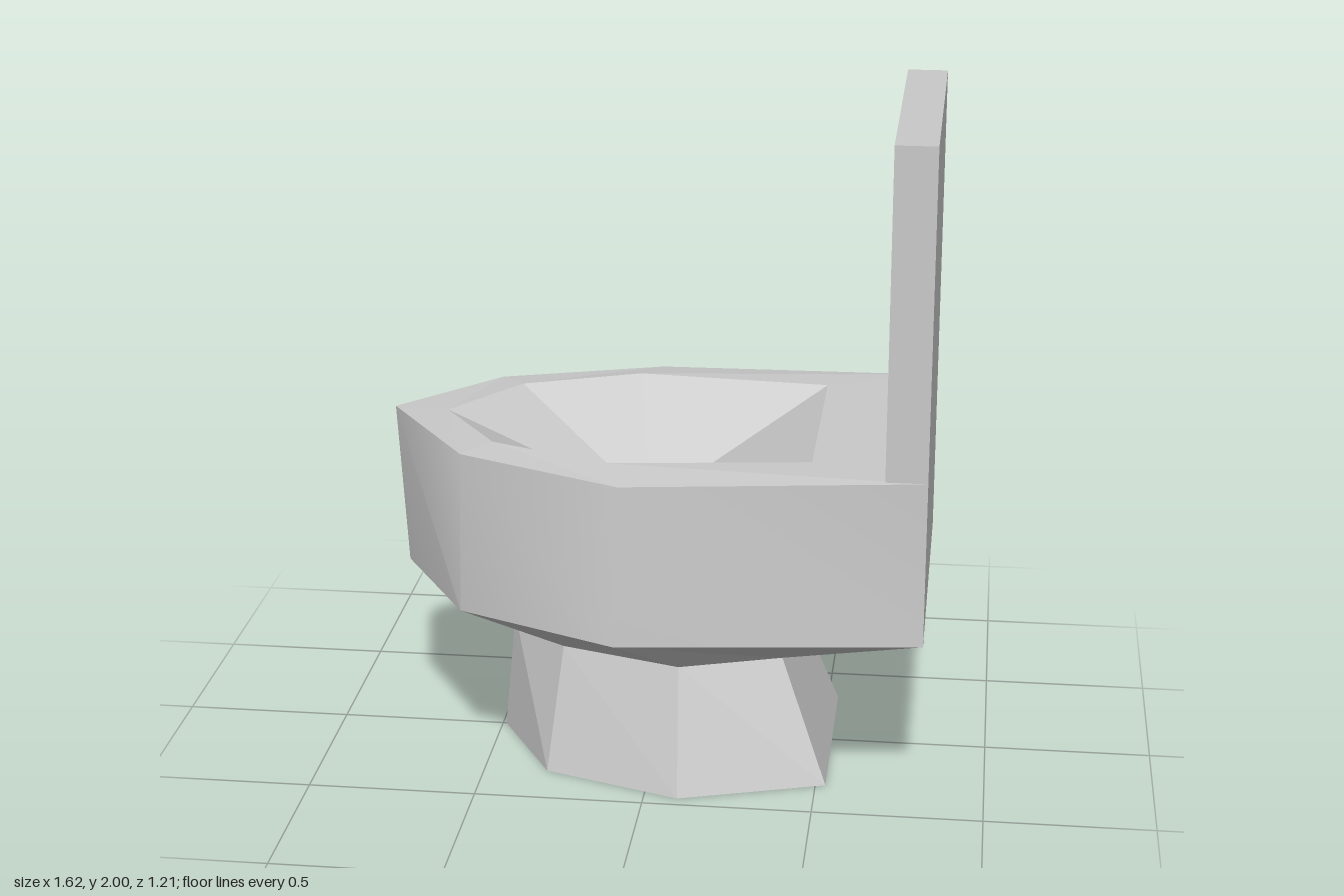
import * as THREE from 'three';
import { toCreasedNormals } from 'three/addons/utils/BufferGeometryUtils.js';

// Seven-corner ring from half points [x, y, z]: tip, side, middle, back; mirrored in z.
function ring(half) {
  const mirrored = half.slice(1).reverse().map(([x, y, z]) => [x, y, -z]);
  return [...half, ...mirrored];
}

// Strip of quads between two rings, with diagonals mirrored left and right.
function band(lower, upper) {
  const tris = [];
  lower.forEach((a, i) => {
    const j = (i + 1) % lower.length;
    const b = lower[j], c = upper[j], d = upper[i];
    if (i < 3) tris.push(a, b, d, b, c, d);
    else tris.push(a, b, c, a, c, d);
  });
  return tris;
}

// Triangles from a ring to one point.
function fan(loop, centre) {
  return loop.flatMap((p, i) => [p, loop[(i + 1) % loop.length], centre]);
}

function geometryFrom(tris) {
  const g = new THREE.BufferGeometry();
  g.setAttribute('position', new THREE.Float32BufferAttribute(tris.flat(), 3));
  g.computeVertexNormals();
  return g;
}

export function createModel() {
  const group = new THREE.Group();
  const porcelain = new THREE.MeshStandardMaterial({ color: 0xc8c8c8, side: THREE.DoubleSide });
  porcelain.name = 'porcelain grey';

  const add = (name, geometry) => {
    const mesh = new THREE.Mesh(geometry, porcelain);
    mesh.name = name;
    group.add(mesh);
  };

  // Cross-sections from the floor up
  const foot = ring([[-0.49, 0, 0], [-0.31, 0, 0.32], [0.1, 0, 0.46], [0.53, 0, 0.32]]);
  const neck = ring([[-0.455, 0.37, 0], [-0.27, 0.37, 0.225], [0.09, 0.37, 0.34], [0.39, 0.37, 0.235]]);
  const belly = ring([[-0.78, 0.54, 0], [-0.55, 0.54, 0.39], [-0.07, 0.54, 0.605], [0.81, 0.54, 0.5]]);
  const rim = ring([[-0.81, 1.035, 0], [-0.545, 1.02, 0.365], [-0.06, 1.01, 0.56], [0.81, 1.035, 0.5]]);
  const opening = ring([[-0.65, 1.03, 0], [-0.465, 1.03, 0.275], [-0.115, 1.03, 0.42], [0.475, 1.035, 0.355]]);

  // Hollow pedestal, open at the floor
  add('pedestal', geometryFrom(band(foot, neck)));
  add('pedestalCeiling', geometryFrom(fan([...neck].reverse(), [0, 0.37, 0])));

  // Bowl: sloped underside, outer wall, rim and basin
  add('bowlUnderside', geometryFrom(band(neck, belly)));
  add('bowlWall', toCreasedNormals(geometryFrom(band(belly, rim)), 0.6));
  add('bowlRim', geometryFrom(band(rim, opening)));
  add('basin', geometryFrom(fan(opening, [-0.035, 0.75, 0])));

  // Tall back panel, flush with the back of the bowl
  const panel = new THREE.BoxGeometry(0.12, 0.965, 1);
  panel.translate(0.75, 1.5175, 0);
  add('backPanel', panel);

  return group;
}
